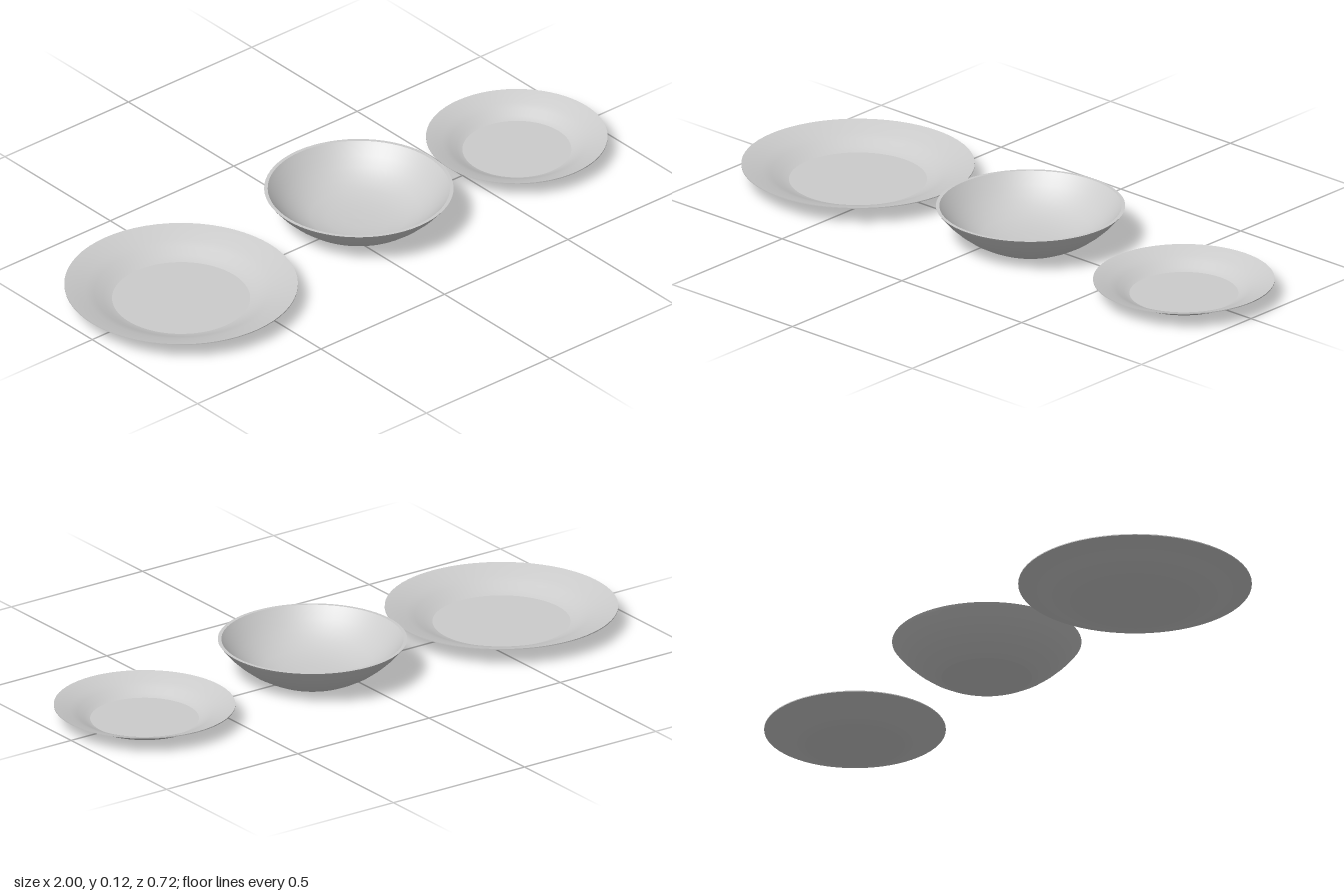
import * as THREE from 'three';

const material = new THREE.MeshStandardMaterial({ color: 0xcccccc });

// A dish turned from strips of [radius, height]; each strip is smooth, strips meet in a crease.
// Strips run from the centre of the foot, out to the rim and back to the centre inside.
function dish(name, x, strips) {
  const group = new THREE.Group();
  group.name = name;
  group.position.x = x;
  for (const [part, points] of Object.entries(strips)) {
    const profile = points.map(([r, y]) => new THREE.Vector2(r, y));
    const mesh = new THREE.Mesh(new THREE.LatheGeometry(profile, 64), material);
    mesh.name = part;
    group.add(mesh);
  }
  return group;
}

// Shallow plate: flat centre, curved well and sloping rim
function plate(name, x, radius, foot, height) {
  const t = 0.008;
  const at = (f, h) => [foot + (radius - foot) * f, height * h];
  const under = [[foot, 0], at(0.2, 0.13), at(0.42, 0.37), at(0.6, 0.56), at(0.8, 0.76), [radius, height - 0.003]];
  const inside = [[radius, height], at(0.8, 0.86), at(0.6, 0.68), at(0.42, 0.52), at(0.25, 0.27), [foot + 0.013, t]];
  return dish(name, x, {
    foot: [[0, 0], [foot, 0]],
    underside: under,
    edge: [[radius, height - 0.003], [radius, height]],
    well: inside,
    centre: [[foot + 0.013, t], [0, t]],
  });
}

export function createModel() {
  const model = new THREE.Group();
  model.name = 'tableware';
  model.add(plate('dinnerPlate', -0.64, 0.36, 0.2, 0.06));
  model.add(plate('sidePlate', 0.72, 0.28, 0.155, 0.055));

  // Bowl with flat foot, flared wall and rounded interior
  model.add(dish('bowl', 0.08, {
    foot: [[0, 0], [0.14, 0]],
    outerWall: [[0.14, 0], [0.165, 0.012], [0.2, 0.032], [0.233, 0.057], [0.262, 0.084], [0.286, 0.112], [0.292, 0.12]],
    rim: [[0.292, 0.12], [0.281, 0.12]],
    innerWall: [[0.281, 0.12], [0.272, 0.109], [0.25, 0.085], [0.222, 0.06], [0.188, 0.038],
      [0.15, 0.022], [0.1, 0.013], [0.05, 0.01], [0, 0.009]],
  }));
  return model;
}
